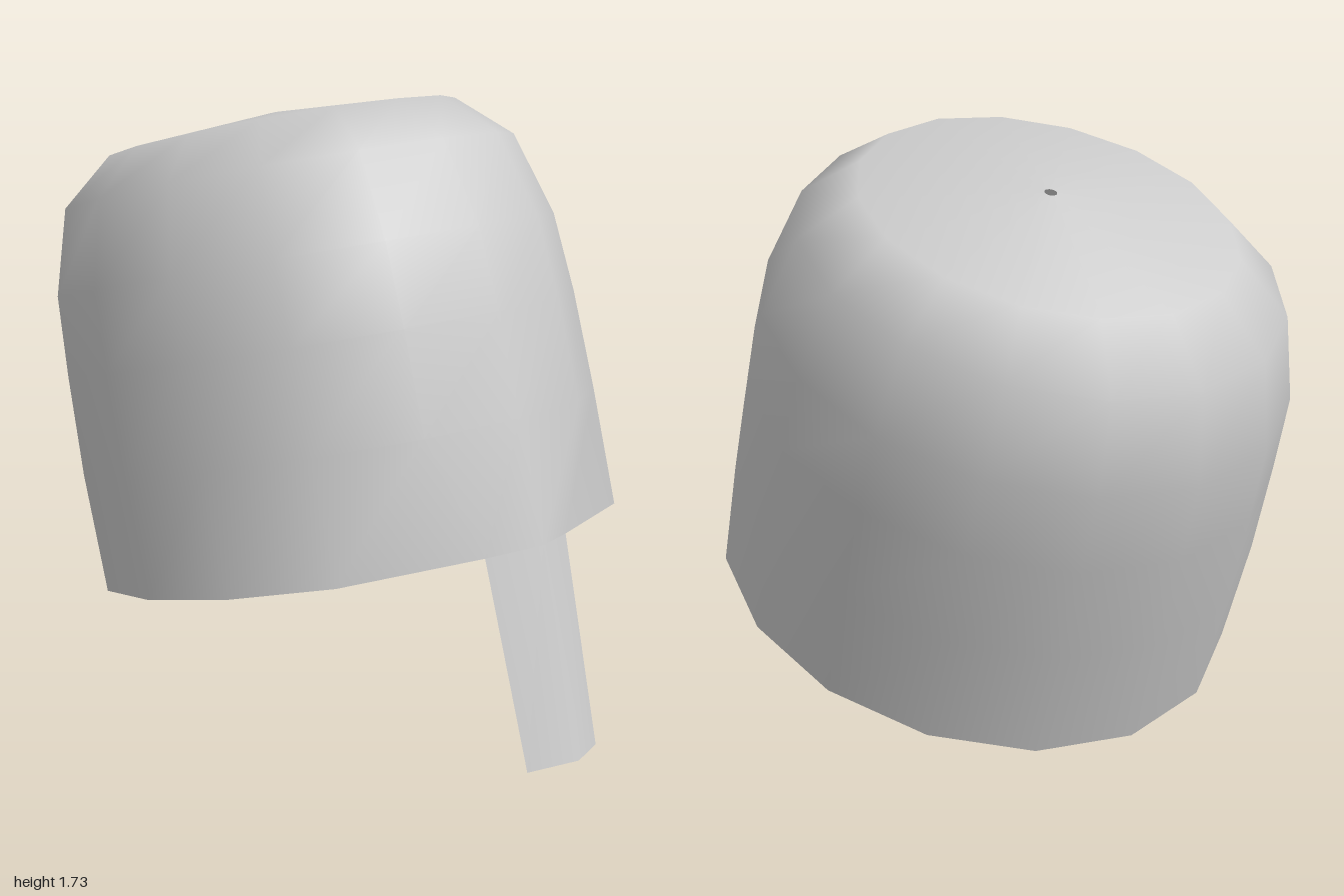
import * as THREE from 'three';

const SIDES = 16;
const material = new THREE.MeshStandardMaterial({ color: 0xcccccc, side: THREE.DoubleSide });

// Joins rows of points, listed bottom to top, into one smooth surface
function loft(name, rows, closed) {
  const n = rows[0].length;
  const index = [];
  for (let i = 0; i < rows.length - 1; i++) {
    for (let j = 0; j < (closed ? n : n - 1); j++) {
      const k = (j + 1) % n;
      const a = i * n + j, b = i * n + k, c = a + n, d = b + n;
      index.push(a, b, d, a, d, c);
    }
  }
  const geometry = new THREE.BufferGeometry();
  geometry.setAttribute('position', new THREE.Float32BufferAttribute(rows.flat(2), 3));
  geometry.setIndex(index);
  geometry.computeVertexNormals();
  const mesh = new THREE.Mesh(geometry, material);
  mesh.name = name;
  return mesh;
}

// Elliptical ring, starting at the front and going towards +x
function ring([y, centre, halfWidth, halfDepth]) {
  return Array.from({ length: SIDES }, (_, j) => {
    const t = (j / SIDES) * Math.PI * 2;
    return [Math.sin(t) * halfWidth, y, centre + Math.cos(t) * halfDepth];
  });
}

export function createModel() {
  const group = new THREE.Group();
  group.name = 'helmet';

  // Shell: height, centre z, half width, half depth of each ring
  const rings = [
    [0.348, 0.132, 0.752, 0.825],
    [0.697, 0.119, 0.755, 0.827],
    [0.99, 0.113, 0.746, 0.82],
    [1.226, 0.103, 0.73, 0.806],
    [1.476, 0.095, 0.66, 0.73],
    [1.61, 0.1, 0.51, 0.565],
    [1.662, 0.099, 0.018, 0.018], // small hole in the crown
  ].map(ring);

  // Rim corners are pulled in to meet the nose guard
  const left = [0.14, 0.348, 0.902];
  const right = [-0.165, 0.348, 0.902];
  rings[0][1] = left;
  rings[0][SIDES - 1] = right;
  group.add(loft('shell', rings, true));

  // Nose guard: folded strip hanging from the front of the rim
  group.add(loft('noseGuard', [
    [[-0.145, -0.246, 0.907], [-0.01, -0.246, 0.969], [0.12, -0.246, 0.907]],
    [right, rings[0][0], left],
  ], false));

  // The whole helmet leans back
  const model = new THREE.Group();
  group.rotation.x = -0.265;
  model.add(group);
  return model;
}
